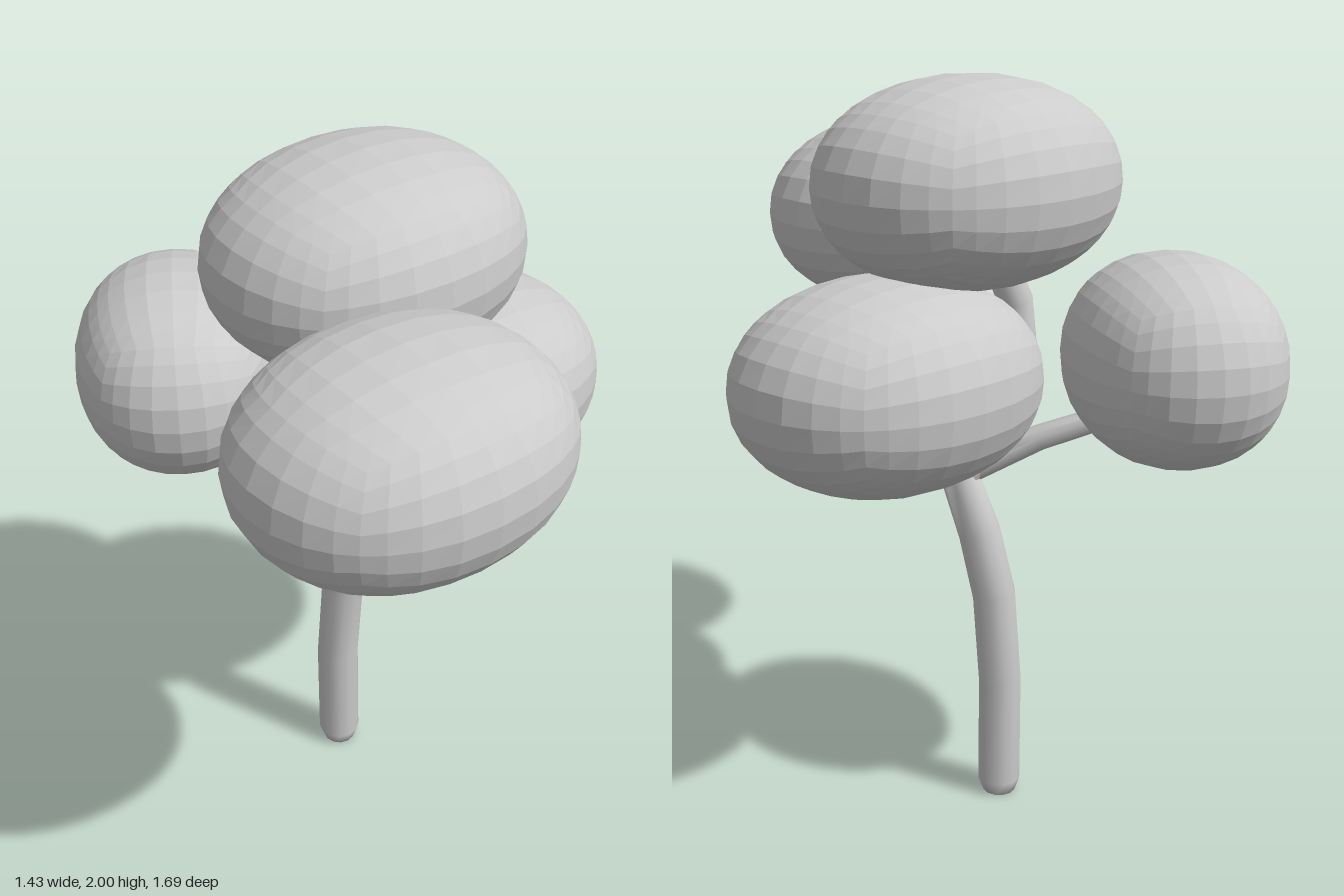
import * as THREE from 'three';
import { mergeVertices } from 'three/addons/utils/BufferGeometryUtils.js';

const wood = new THREE.MeshStandardMaterial({ color: 0xcccccc });
const leaf = new THREE.MeshStandardMaterial({ color: 0xcccccc, flatShading: true });

// Slightly boxy rounded blob: a divided cube pushed out onto a soft superellipsoid
function foliage(name, center, radii, turn = 0) {
  const geo = new THREE.BoxGeometry(2, 2, 2, 8, 8, 8);
  const pos = geo.attributes.position;
  const v = new THREE.Vector3();
  const power = 2.12;
  for (let i = 0; i < pos.count; i++) {
    v.fromBufferAttribute(pos, i);
    const len = (Math.abs(v.x) ** power + Math.abs(v.y) ** power + Math.abs(v.z) ** power) ** (1 / power);
    v.divideScalar(len);
    pos.setXYZ(i, v.x * radii[0], v.y * radii[1], v.z * radii[2]);
  }
  geo.computeVertexNormals();
  const mesh = new THREE.Mesh(geo, leaf);
  mesh.name = name;
  mesh.position.set(...center);
  mesh.rotation.y = turn;
  return mesh;
}

// Closed limb: rings of given radius at each point, square to the path
function limb(name, points, radii, sides = 12) {
  const pts = points.map((p) => new THREE.Vector3(...p));
  const n = pts.length;
  const verts = [];
  const index = [];
  const quat = new THREE.Quaternion();
  const up = new THREE.Vector3(0, 1, 0);
  pts.forEach((p, i) => {
    const dir = pts[Math.min(i + 1, n - 1)].clone().sub(pts[Math.max(i - 1, 0)]).normalize();
    quat.setFromUnitVectors(up, dir);
    for (let s = 0; s < sides; s++) {
      const a = (s / sides) * Math.PI * 2;
      const q = new THREE.Vector3(Math.cos(a), 0, Math.sin(a)).multiplyScalar(radii[i]);
      verts.push(...q.applyQuaternion(quat).add(p).toArray());
      if (i < n - 1) {
        const a0 = i * sides + s;
        const b0 = i * sides + ((s + 1) % sides);
        index.push(a0, a0 + sides, b0, b0, a0 + sides, b0 + sides);
      }
    }
  });
  // End caps
  for (let s = 1; s < sides - 1; s++) {
    const t = (n - 1) * sides;
    index.push(0, s, s + 1, t, t + s + 1, t + s);
  }
  const geo = new THREE.BufferGeometry();
  geo.setAttribute('position', new THREE.Float32BufferAttribute(verts, 3));
  geo.setIndex(index);
  const merged = mergeVertices(geo);
  merged.computeVertexNormals();
  const mesh = new THREE.Mesh(merged, wood);
  mesh.name = name;
  return mesh;
}

export function createModel() {
  const tree = new THREE.Group();
  tree.name = 'tree';

  // Trunk with a bevelled foot, leaning forward towards the fork
  tree.add(limb('trunk',
    [[-0.03, 0, -0.15], [-0.03, 0.04, -0.15], [-0.03, 0.35, -0.15], [-0.02, 0.6, -0.135],
      [0.003, 0.78, -0.1], [0.035, 0.94, -0.055]],
    [0.045, 0.06, 0.06, 0.06, 0.058, 0.052]));

  // Branches into the crown
  tree.add(limb('mainBranch',
    [[0.035, 0.93, -0.055], [-0.06, 1.07, -0.08], [-0.15, 1.23, -0.1], [-0.13, 1.4, -0.1], [-0.03, 1.65, -0.06]],
    [0.052, 0.055, 0.052, 0.048, 0.04]));
  tree.add(limb('frontBranch',
    [[-0.14, 1.2, -0.1], [-0.2, 1.3, 0.09], [-0.28, 1.48, 0.38]], [0.045, 0.04, 0.035]));
  tree.add(limb('backBranch',
    [[0.03, 0.94, -0.055], [-0.13, 1.04, -0.19], [-0.3, 1.15, -0.42]], [0.035, 0.035, 0.03]));

  // Foliage
  tree.add(foliage('topFoliage', [0.005, 1.728, -0.055], [0.425, 0.272, 0.357]));
  tree.add(foliage('frontFoliage', [-0.29, 1.555, 0.485], [0.425, 0.275, 0.357]));
  tree.add(foliage('leftFoliage', [0.286, 1.248, -0.05], [0.425, 0.276, 0.357]));
  tree.add(foliage('backFoliage', [-0.293, 1.29, -0.505], [0.28, 0.275, 0.357], -0.54));
  return tree;
}
